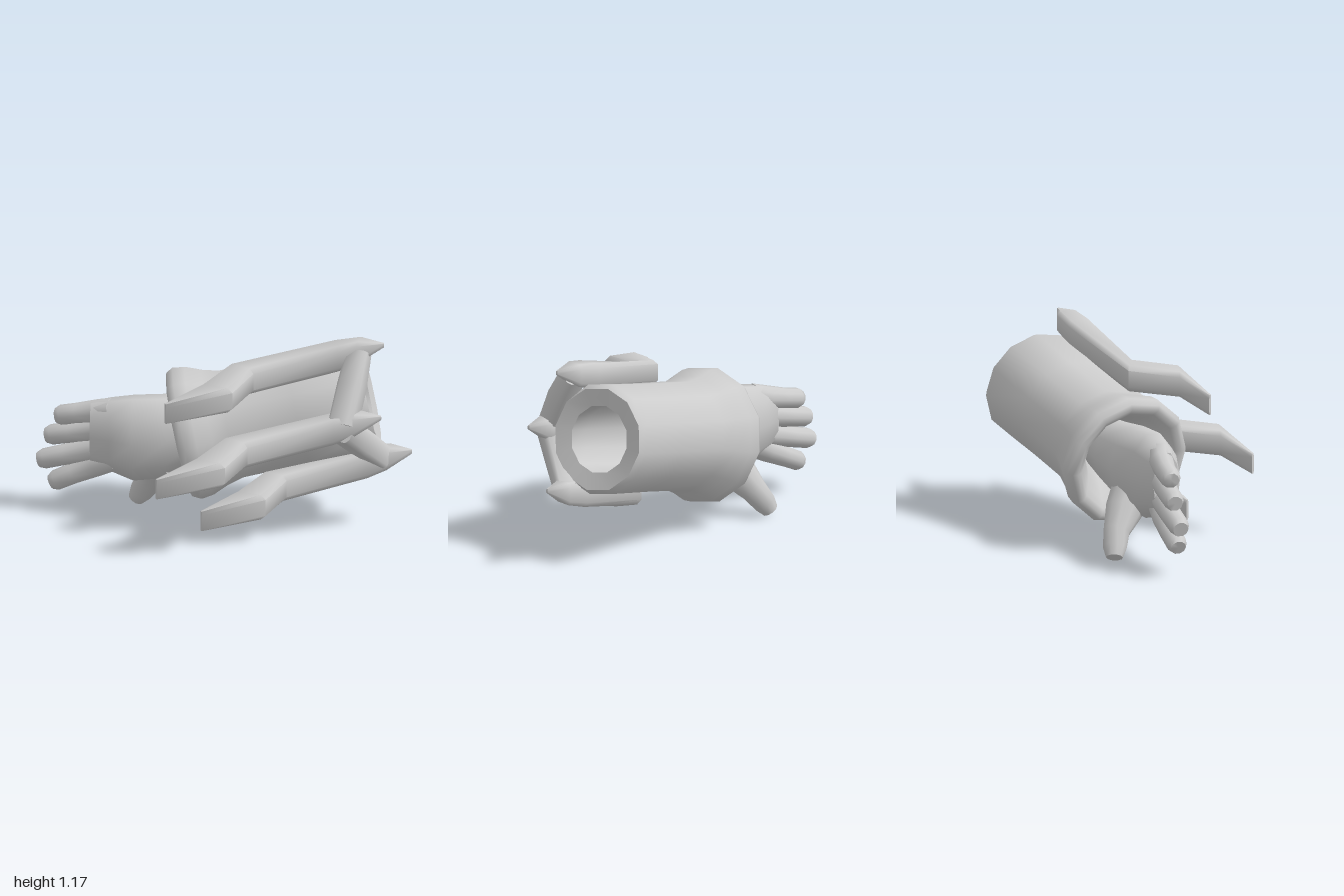
import * as THREE from 'three';
import { toCreasedNormals } from 'three/addons/utils/BufferGeometryUtils.js';

const V = (x, y, z) => new THREE.Vector3(x, y, z);
const mat = new THREE.MeshStandardMaterial({ color: 0xcccccc, side: THREE.DoubleSide });

// unit outlines: rounded box and ellipse
const BOX = [[1, -.65], [1, .65], [.7, 1], [-.7, 1], [-1, .65], [-1, -.65], [-.7, -1], [.7, -1]];
const ROUND = Array.from({ length: 10 }, (_, i) => [Math.cos(i * Math.PI / 5), Math.sin(i * Math.PI / 5)]);

// skin cross-sections { c: centre, u, v: half axes } and cap both ends
function loft(sections, outline) {
  const n = outline.length, pts = [], idx = [];
  for (const { c, u, v } of sections)
    for (const [a, b] of outline) pts.push(c.clone().addScaledVector(u, a).addScaledVector(v, b));
  const last = sections.length - 1, capA = pts.length, capB = capA + 1;
  pts.push(sections[0].c, sections[last].c);
  for (let j = 0; j < n; j++) {
    const k = (j + 1) % n;
    for (let i = 0; i < last; i++) {
      const a = i * n + j, b = i * n + k;
      idx.push(a, b, b + n, a, b + n, a + n);
    }
    idx.push(capA, k, j, capB, last * n + j, last * n + k);
  }
  // turn faces outward
  let volume = 0;
  for (let i = 0; i < idx.length; i += 3)
    volume += pts[idx[i]].dot(pts[idx[i + 1]].clone().cross(pts[idx[i + 2]]));
  if (volume < 0) idx.reverse();
  const g = new THREE.BufferGeometry().setFromPoints(pts);
  g.setIndex(idx);
  return toCreasedNormals(g, 1.15);
}

// limb along a path of [x, y, z, radius]
function limb(path, outline = ROUND) {
  const p = path.map(([x, y, z]) => V(x, y, z));
  return loft(p.map((c, i) => {
    const d = p[Math.min(i + 1, p.length - 1)].clone().sub(p[Math.max(i - 1, 0)]).normalize();
    const u = V(0, 1, 0).cross(d).normalize();
    const v = d.clone().cross(u);
    return { c, u: u.multiplyScalar(path[i][3]), v: v.multiplyScalar(path[i][3]) };
  }), outline);
}

export function createModel() {
  const group = new THREE.Group();
  const add = (name, geometry, parent = group) => {
    const m = new THREE.Mesh(geometry, mat);
    m.name = name;
    parent.add(m);
    return m;
  };

  // hollow sleeve with a thick flared cuff closing in on the wrist, y axis running from cuff to elbow
  const profile = [[.2, 1.1], [.205, .95], [.22, .5], [.15, .27], [.21, .14], [.275, .05], [.315, 0], [.35, -.02],
    [.38, -.01], [.402, .03], [.392, .1], [.355, .19], [.328, .29], [.325, .7], [.33, 1.08], [.305, 1.12], [.2, 1.1]]
    .map(([r, y]) => new THREE.Vector2(r, y));
  const sleeve = add('sleeve', toCreasedNormals(new THREE.LatheGeometry(profile, 12), 1));
  sleeve.position.set(-.08, .517, -.22);
  sleeve.quaternion.setFromUnitVectors(V(0, 1, 0), V(.63, .25, .9).normalize());

  // hand, with the forearm ending inside the sleeve
  const hand = new THREE.Group();
  hand.name = 'hand';
  group.add(hand);
  const side = V(.87, 0, -.48);
  const palm = [[.2, .62, .2, .11, .12], [.1, .58, .04, .14, .15], [-.02, .54, -.14, .16, .2], [-.13, .505, -.3, .165, .255],
    [-.24, .495, -.45, .15, .262], [-.29, .505, -.58, .13, .225], [-.335, .5, -.69, .085, .2]];
  add('palm', loft(palm.map(([x, y, z, w, h]) =>
    ({ c: V(x, y, z), u: side.clone().multiplyScalar(w), v: V(0, h, 0) })), ROUND), hand);

  // root y, tip y, tip z, tip x
  const fingers = [[.65, .58, -.905, -.38], [.545, .455, -.96, -.405], [.435, .308, -.99, -.44], [.36, .18, -.915, -.42]];
  for (const [y0, y1, z1, x1] of fingers) {
    const at = (t, r, bend = 0) => [-.29 + (x1 + .29) * t + bend, y0 + (y1 - y0) * t, -.57 + (z1 + .57) * t, r];
    add('finger', limb([at(0, .078), at(.3, .072, .01), at(.65, .062, .01), at(.92, .06), at(1, .046)]), hand);
  }
  add('thumb', limb([[-.12, .39, -.29, .13], [-.065, .27, -.41, .11], [-.03, .17, -.49, .08],
    [-.025, .085, -.555, .07], [-.025, .035, -.59, .05]]), hand);

  // claw: three matching prongs, each section [front x, z, back x, z, y, half height]
  const claw = new THREE.Group();
  claw.name = 'claw';
  group.add(claw);
  const prong = [[-.79, .11, -.78, .09, .44, .06], [-.56, .43, -.59, .21, .525, .075], [-.28, .39, -.27, .2, .56, .078],
    [.01, .8, .14, .69, .7, .078], [.09, .88, .22, .83, .735, .068], [.22, .99, .23, .98, .775, .012]];
  const prongGeometry = loft(prong.map(([fx, fz, bx, bz, y, h]) => ({
    c: V((fx + bx) / 2, y, (fz + bz) / 2),
    u: V((fx - bx) / 2, 0, (fz - bz) / 2),
    v: V(0, h, 0),
  })), BOX);
  // position, then length along x and z
  const prongs = {
    upperProng: [V(.195, .375, -.11), V(.94, 1, 1)],
    middleProng: [V(0, 0, 0), V(1, 1, 1)],
    lowerProng: [V(.33, -.295, .05), V(.93, 1, .945)],
  };
  for (const [name, [position, scale]] of Object.entries(prongs)) {
    const m = add(name, prongGeometry, claw);
    m.position.copy(position);
    m.scale.copy(scale);
  }

  // bars joining the prongs behind their points
  add('upperBar', limb([[.33, 1.1, .75, .065], [.22, .93, .78, .075], [.1, .72, .8, .075]], BOX), claw);
  add('lowerBar', limb([[.1, .7, .8, .075], [.27, .575, .81, .075], [.45, .44, .83, .065]], BOX), claw);

  return group;
}
